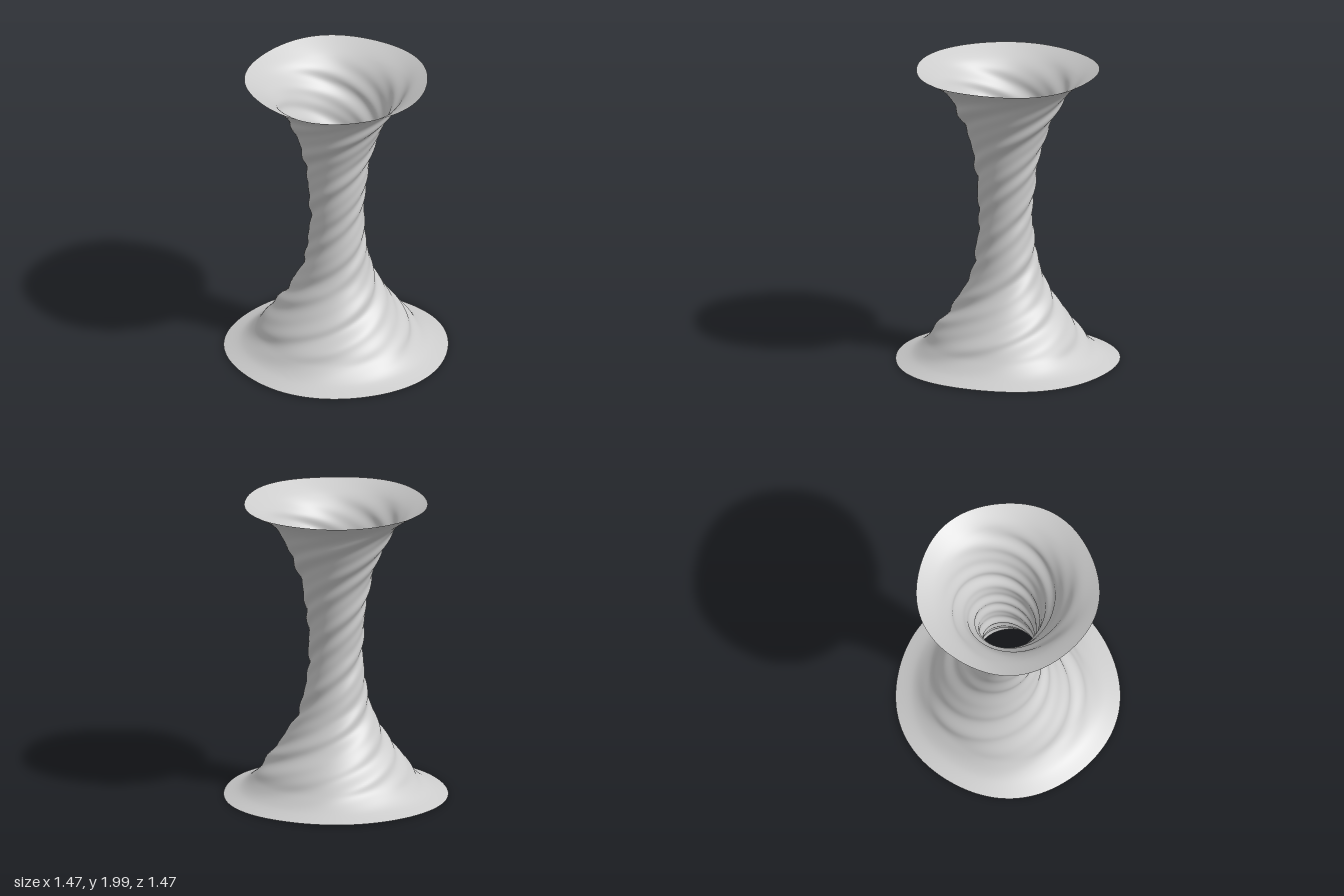
import * as THREE from 'three';
import { mergeVertices } from 'three/addons/utils/BufferGeometryUtils.js';

// Mean silhouette: [radius, height]
const PROFILE = [
  [0.735, 0.01], [0.62, 0.055], [0.535, 0.125], [0.475, 0.21], [0.36, 0.36],
  [0.275, 0.5], [0.225, 0.62], [0.19, 0.8], [0.176, 0.95], [0.177, 1.05],
  [0.188, 1.2], [0.215, 1.4], [0.25, 1.53], [0.305, 1.67], [0.385, 1.82],
  [0.47, 1.91], [0.6, 1.99],
];

// Twisted cloth folds: several sine waves carried round by the height
function fold(angle, y) {
  const a = angle - 7 * y;
  return 0.5 * Math.sin(5 * a) + 0.35 * Math.sin(8 * a + 1.3 + 2 * y) + 0.3 * Math.sin(3 * a + 0.6);
}

function twistedSleeve() {
  const curve = new THREE.SplineCurve(PROFILE.map(([r, y]) => new THREE.Vector2(r, y)));
  const geometry = new THREE.LatheGeometry(curve.getSpacedPoints(200), 160);
  const pos = geometry.attributes.position;
  for (let i = 0; i < pos.count; i++) {
    const x = pos.getX(i), y = pos.getY(i), z = pos.getZ(i);
    const r = Math.hypot(x, z), angle = Math.atan2(x, z);
    // Folds fade out towards both rims
    const fade = THREE.MathUtils.smoothstep(y, 0.0, 0.3) * (1 - THREE.MathUtils.smoothstep(y, 1.75, 2.0));
    const depth = (0.006 + 0.022 * r) * fade;
    const waist = Math.exp(-(((y - 1) / 0.4) ** 2));
    const rim = 0.006 * Math.sin(5 * angle + 0.8) * (1 - fade);
    const s = (r + depth * fold(angle, y) + rim) / r;
    const wave = 0.004 * Math.sin(3 * angle) * (1 - fade);
    pos.setXYZ(i, x * s - 0.007 * waist, y + wave, z * s + 0.008 * waist);
  }
  // Weld the seam so the shading runs smoothly all round
  geometry.deleteAttribute('uv');
  geometry.deleteAttribute('normal');
  const welded = mergeVertices(geometry, 1e-5);
  welded.computeVertexNormals();
  return welded;
}

export function createModel() {
  const group = new THREE.Group();
  group.name = 'twistedHourglass';
  const material = new THREE.MeshStandardMaterial({ color: 0xcccccc, side: THREE.DoubleSide });
  const sleeve = new THREE.Mesh(twistedSleeve(), material);
  sleeve.name = 'twistedSleeve';
  group.add(sleeve);
  return group;
}
